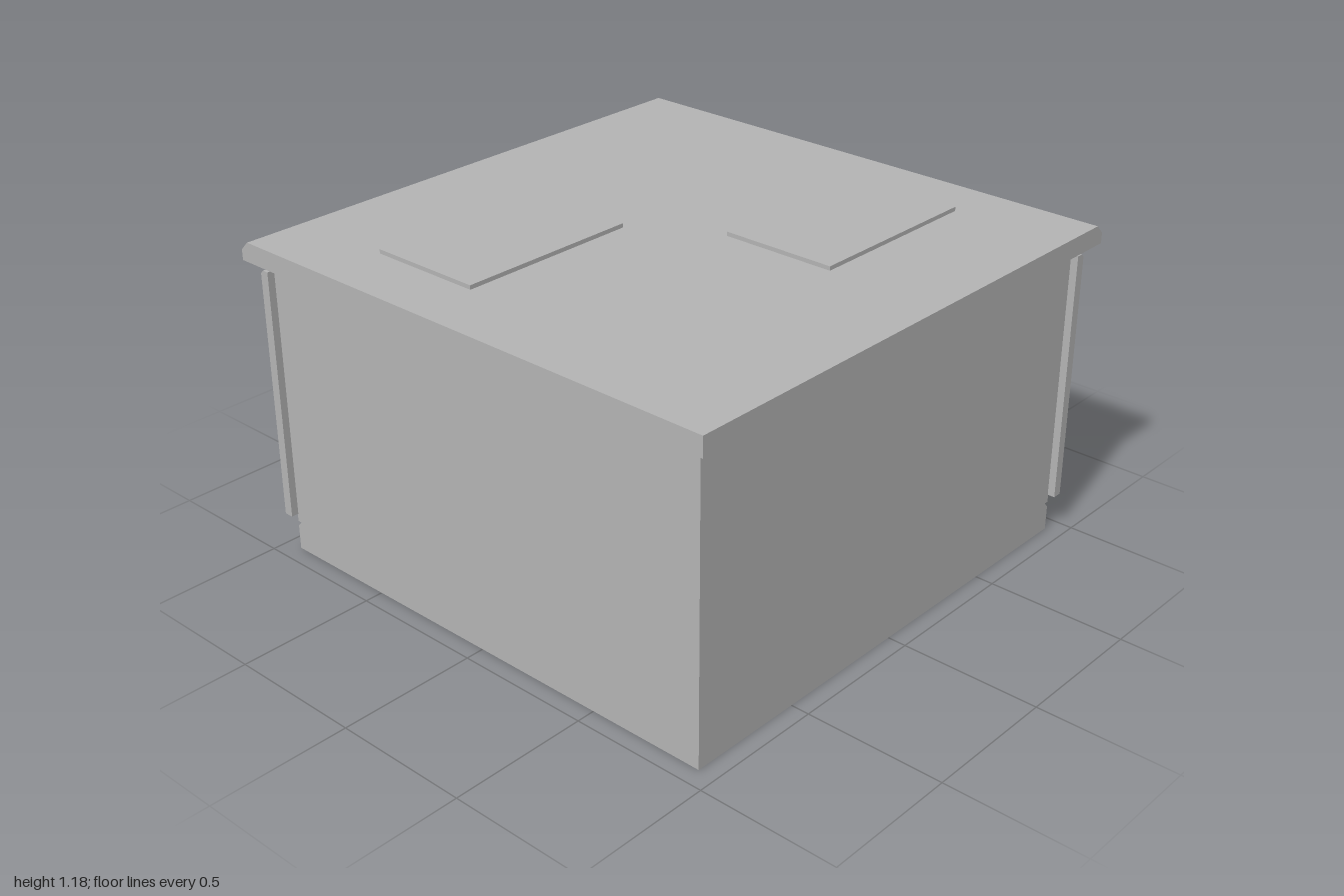
import * as THREE from 'three';
import { ConvexGeometry } from 'three/addons/geometries/ConvexGeometry.js';

const grey = new THREE.MeshStandardMaterial({ color: 0xb4b4b4, side: THREE.DoubleSide });
grey.name = 'grey metal';

// The +x side and its mirror image, the back (-z) side.
const sideMap = (x, y, z) => new THREE.Vector3(x, y, z);
const backMap = (x, y, z) => new THREE.Vector3(-z, y, -x);

function add(parent, geometry, name) {
  const mesh = new THREE.Mesh(geometry, grey);
  mesh.name = name;
  parent.add(mesh);
  return mesh;
}

// Block whose three edges meeting at the (+x, +y, -z) corner are chamfered by c.
function chamferBlock([x0, x1], [y0, y1], [z0, z1], c, map = sideMap) {
  const points = [
    [x0, y0, z1], [x1, y0, z1], [x0, y0, z0], [x1, y0, z0 + c], [x1 - c, y0, z0],
    [x0, y1, z1], [x1 - c, y1, z1], [x1, y1 - c, z1],
    [x0, y1, z0 + c], [x0, y1 - c, z0],
    [x1 - c, y1, z0 + c], [x1, y1 - c, z0 + c], [x1 - c, y1 - c, z0],
  ];
  return new ConvexGeometry(points.map((p) => map(...p)));
}

// Leaves out the triangles lying flat at the given heights.
function openAt(geometry, ...heights) {
  const p = geometry.attributes.position;
  const kept = [];
  for (let i = 0; i < p.count; i += 3) {
    const flat = heights.some((h) => [0, 1, 2].every((k) => Math.abs(p.getY(i + k) - h) < 1e-4));
    if (!flat) for (let k = 0; k < 3; k++) kept.push(p.getX(i + k), p.getY(i + k), p.getZ(i + k));
  }
  const shell = new THREE.BufferGeometry();
  shell.setAttribute('position', new THREE.Float32BufferAttribute(kept, 3));
  shell.computeVertexNormals();
  return shell;
}

function box([x0, x1], [y0, y1], [z0, z1], map = sideMap) {
  const b = new THREE.Box3().setFromPoints([map(x0, y0, z0), map(x1, y1, z1)]);
  const s = b.getSize(new THREE.Vector3());
  const c = b.getCenter(new THREE.Vector3());
  return new THREE.BoxGeometry(s.x, s.y, s.z).translate(c.x, c.y, c.z);
}

// Door with five louvres and a round knob; dz slides it along the side.
function buildDoor(name, map, dz) {
  const door = new THREE.Group();
  door.name = name;
  add(door, chamferBlock([0.93, 0.965], [0.14, 1.063], [0.035 + dz, 0.96 + dz], 0.012, map), 'doorPanel');
  for (let i = 0; i < 5; i++) {
    const y = 0.233 + i * 0.096;
    add(door, box([0.96, 1], [y - 0.026, y + 0.026], [0.142 + dz, 0.85 + dz], map), 'louvre');
  }
  const knob = new THREE.CylinderGeometry(0.05, 0.05, 0.04, 8).rotateY(Math.PI / 8);
  if (map === sideMap) knob.rotateZ(-Math.PI / 2);
  else knob.rotateX(-Math.PI / 2);
  const at = map(0.98, 0.855, 0.832 + dz);
  add(door, knob.translate(at.x, at.y, at.z), 'knob');
  return door;
}

export function createModel() {
  const model = new THREE.Group();
  model.name = 'equipmentCabinet';

  // Hollow plinth, walls and roof, open underneath
  add(model, openAt(chamferBlock([-0.933, 0.933], [0, 0.11], [-0.933, 0.933], 0.018), 0, 0.11), 'plinth');
  add(model, openAt(box([-0.933, 0.933], [0.11, 1.1], [-0.933, 0.933]).toNonIndexed(), 0.11, 1.1), 'walls');
  add(model, openAt(chamferBlock([-1, 1], [1.1, 1.17], [-1, 1], 0.032), 1.1), 'roof');

  // Roof hatches
  add(model, box([-0.77, -0.09], [1.16, 1.185], [-0.58, -0.155]), 'roofHatch');
  add(model, box([0.085, 0.765], [1.16, 1.185], [0.147, 0.572]), 'roofHatch');

  // Two doors on the side and two on the back
  for (const dz of [0, -0.99]) {
    model.add(buildDoor('sideDoor', sideMap, dz));
    model.add(buildDoor('backDoor', backMap, dz));
  }
  return model;
}
